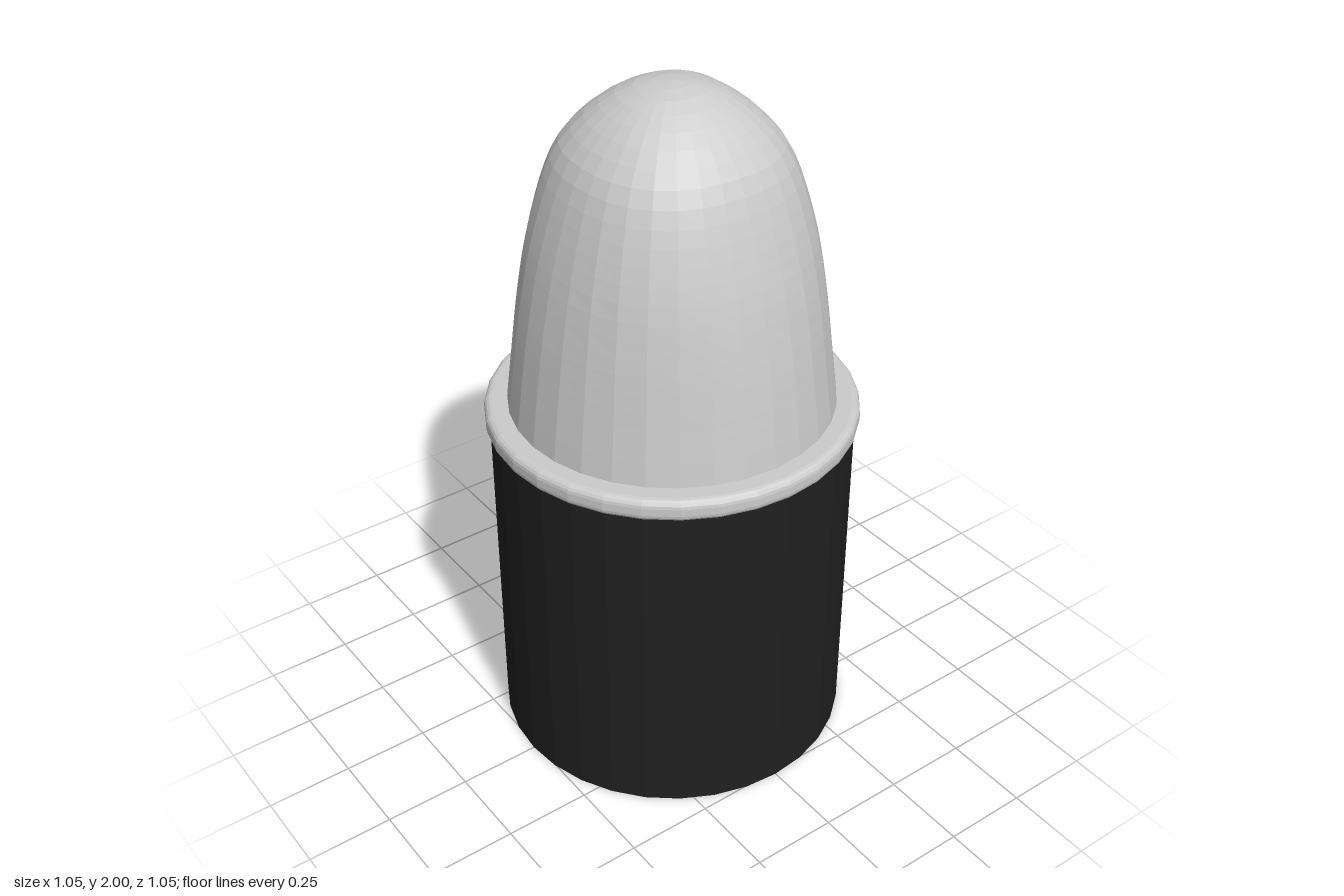
import * as THREE from 'three';

const SIDES = 32;
const V = (x, y) => new THREE.Vector2(x, y);

// Dome: lathed profile whose upper sections swell slightly towards the diagonals
function domeGeometry() {
  const curve = new THREE.SplineCurve([
    V(0.463, 1.04), V(0.443, 1.2), V(0.412, 1.4), V(0.368, 1.6), V(0.3, 1.8),
    V(0.225, 1.9), V(0.14, 1.965), V(0.07, 1.992), V(0, 2)
  ]);
  const geometry = new THREE.LatheGeometry(curve.getSpacedPoints(24), SIDES);
  const p = geometry.attributes.position;
  for (let i = 0; i < p.count; i++) {
    const x = p.getX(i), y = p.getY(i), z = p.getZ(i);
    const angle = Math.atan2(z, x);
    const rise = THREE.MathUtils.smoothstep(y, 1.15, 1.85);
    const swell = 1 + 0.05 * rise * (1 - Math.cos(4 * angle)) / 2;
    p.setXYZ(i, x * swell, y, z * swell);
  }
  geometry.computeVertexNormals();
  return geometry;
}

// Flange: flat ring with a rounded rim
function flangeGeometry() {
  const r = 0.022, outer = 0.525, low = 1.005, high = 1.07;
  const profile = [V(0.42, low)];
  for (const [cy, start] of [[low + r, -Math.PI / 2], [high - r, 0]]) {
    for (let i = 0; i <= 4; i++) {
      const a = start + (i / 4) * Math.PI / 2;
      profile.push(V(outer - r + r * Math.cos(a), cy + r * Math.sin(a)));
    }
  }
  profile.push(V(0.42, high));
  return new THREE.LatheGeometry(profile, SIDES);
}

export function createModel() {
  const group = new THREE.Group();
  const grey = new THREE.MeshStandardMaterial({ color: 0xcccccc, flatShading: true });
  const black = new THREE.MeshStandardMaterial({ color: 0x202020, flatShading: true });

  const add = (name, geometry, material) => {
    const mesh = new THREE.Mesh(geometry, material);
    mesh.name = name;
    group.add(mesh);
    return mesh;
  };

  add('body', new THREE.CylinderGeometry(0.512, 0.512, 1.01, SIDES), black).position.y = 0.505;
  add('flange', flangeGeometry(), grey);
  add('dome', domeGeometry(), grey);
  return group;
}
